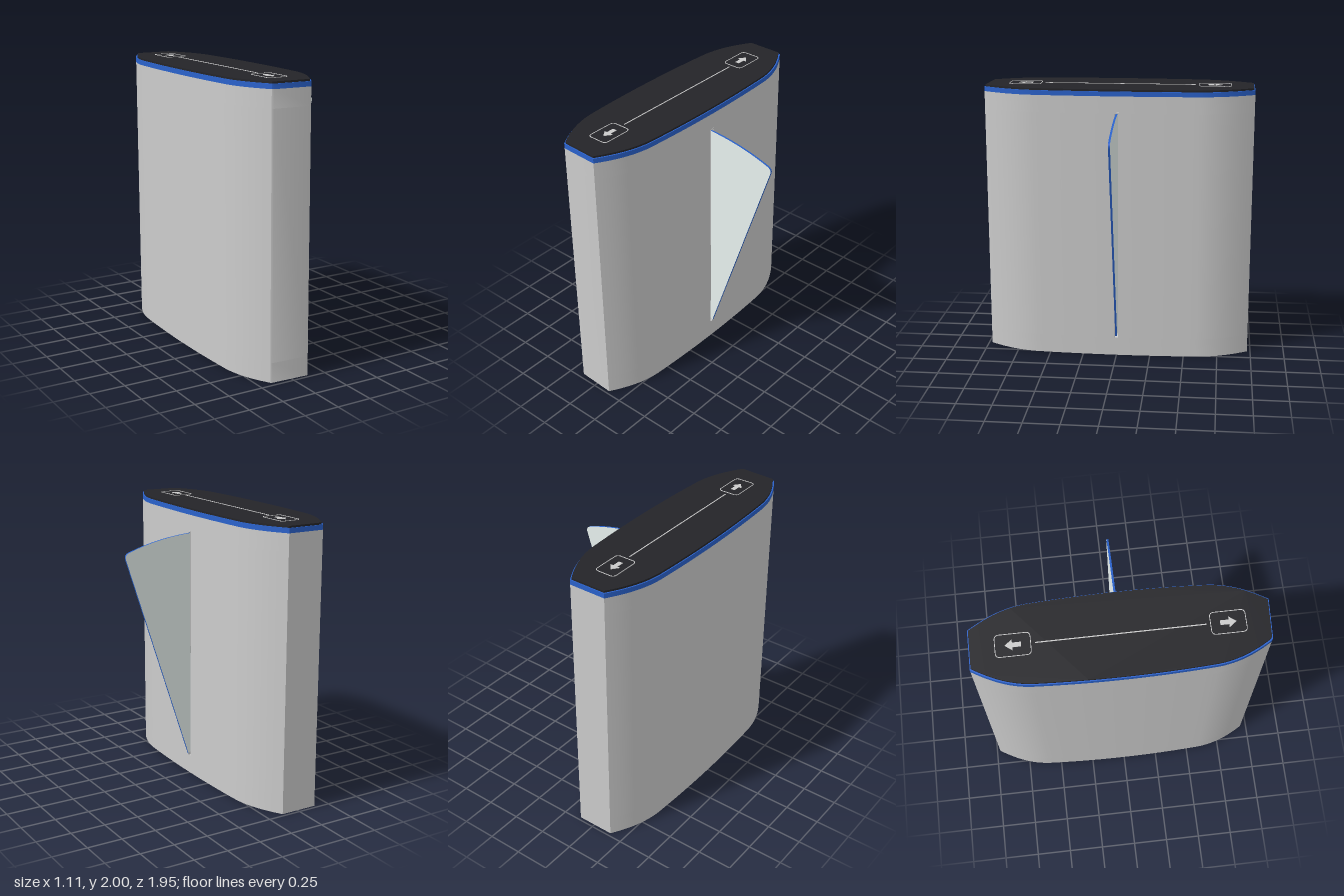
import * as THREE from 'three';
import { toCreasedNormals } from 'three/addons/utils/BufferGeometryUtils.js';

const CX = -0.26;
const mat = (color) => new THREE.MeshStandardMaterial({ color });
const grey = mat(0xcccccc), blue = mat(0x2a62cc), black = mat(0x242428);
const white = mat(0xe2e4e4), pane = mat(0xe9f2f0);
const V = (x, y) => new THREE.Vector2(x, y);

// One quarter of the cabinet plan: (half width, distance from centre), end to middle
const quarter = [
  ...new THREE.CubicBezierCurve(V(0.135, 0.976), V(0.195, 0.88), V(0.262, 0.76), V(0.277, 0.6)).getPoints(14),
  ...new THREE.QuadraticBezierCurve(V(0.277, 0.6), V(0.296, 0.3), V(0.296, 0.012)).getPoints(10).slice(1),
];

// Full plan in (x, -z), optionally inset, optionally with the slot notch in the +x side
function plan(inset = 0, notch = false) {
  const side = (sx, sz) => quarter.map((p) => V(CX + sx * (p.x - inset), sz * (p.y - inset)));
  const frontLeft = side(-1, -1);
  frontLeft[0].y += 0.014;
  return new THREE.Shape([
    ...side(1, -1),
    ...(notch ? [V(-0.06, -0.012), V(-0.06, 0.012)] : []),
    ...side(1, 1).reverse(),
    ...side(-1, 1),
    ...frontLeft.reverse(),
  ]);
}

// Extrude a plan shape upward from y0 to y1
function slab(name, shape, y0, y1, material) {
  const geo = new THREE.ExtrudeGeometry(shape, { depth: y1 - y0, bevelEnabled: false, curveSegments: 8 });
  geo.rotateX(-Math.PI / 2).translate(0, y0, 0);
  const mesh = new THREE.Mesh(toCreasedNormals(geo, 0.5), material);
  mesh.name = name;
  return mesh;
}

function roundedRect(path, w, h, r) {
  const x = w / 2, y = h / 2;
  path.moveTo(-x + r, -y).lineTo(x - r, -y).quadraticCurveTo(x, -y, x, -y + r);
  path.lineTo(x, y - r).quadraticCurveTo(x, y, x - r, y);
  path.lineTo(-x + r, y).quadraticCurveTo(-x, y, -x, y - r);
  path.lineTo(-x, -y + r).quadraticCurveTo(-x, -y, -x + r, -y);
  return path;
}

export function createModel() {
  const model = new THREE.Group();

  // Cabinet, notched over the height of the slot
  const cabinet = new THREE.Group();
  cabinet.name = 'cabinet';
  cabinet.add(
    slab('cabinetBase', plan(), 0, 0.138, grey),
    slab('cabinetMiddle', plan(0, true), 0.138, 1.827, grey),
    slab('cabinetTop', plan(), 1.827, 1.95, grey),
  );
  model.add(cabinet);
  model.add(slab('blueBand', plan(), 1.95, 1.984, blue));
  model.add(slab('lid', plan(0.007), 1.984, 1.997, black));

  // Thin trim around the slot
  const trimShape = roundedRect(new THREE.Shape(), 0.038, 1.705, 0.001);
  trimShape.holes.push(roundedRect(new THREE.Path(), 0.024, 1.689, 0.001));
  const trim = new THREE.Mesh(new THREE.ExtrudeGeometry(trimShape, { depth: 0.008, bevelEnabled: false }), grey);
  trim.rotation.y = Math.PI / 2;
  trim.position.set(0.03, 0.9825, 0);
  trim.name = 'slotTrim';
  model.add(trim);

  // Swinging barrier wing: pale faces with a blue edge
  const wing = new THREE.Shape();
  wing.moveTo(-0.05, 0.17).lineTo(0.035, 0.17).lineTo(0.05, 0.155);
  wing.lineTo(0.548, 1.675).quadraticCurveTo(0.56, 1.71, 0.525, 1.725);
  wing.quadraticCurveTo(0.3, 1.805, 0.035, 1.82).lineTo(-0.05, 1.82);
  const wingGeo = new THREE.ExtrudeGeometry(wing, { depth: 0.014, bevelEnabled: false, curveSegments: 16 });
  wingGeo.translate(0, 0, -0.007);
  const wingMesh = new THREE.Mesh(wingGeo, [pane, blue]);
  wingMesh.name = 'barrierWing';
  model.add(wingMesh);

  // Lid markings: centre line plus a framed arrow toward each end
  const line = new THREE.Mesh(new THREE.BoxGeometry(0.007, 0.003, 1.1), white);
  line.position.set(CX, 1.9985, 0);
  line.name = 'centreLine';
  model.add(line);
  for (const end of [-1, 1]) {
    const sign = new THREE.Group();
    sign.name = end < 0 ? 'backSign' : 'frontSign';
    const frame = roundedRect(new THREE.Shape(), 0.156, 0.234, 0.032);
    frame.holes.push(roundedRect(new THREE.Path(), 0.147, 0.225, 0.028));
    const arrow = new THREE.Shape([
      V(-0.016, -0.053), V(0.016, -0.053), V(0.016, 0.004), V(0.037, 0.004),
      V(0, 0.053), V(-0.037, 0.004), V(-0.016, 0.004),
    ]);
    sign.add(slab('signFrame', frame, 0, 0.003, white), slab('signArrow', arrow, 0, 0.003, white));
    sign.position.set(CX, 1.997, end * 0.692);
    sign.rotation.y = end < 0 ? 0 : Math.PI;
    model.add(sign);
  }
  return model;
}
